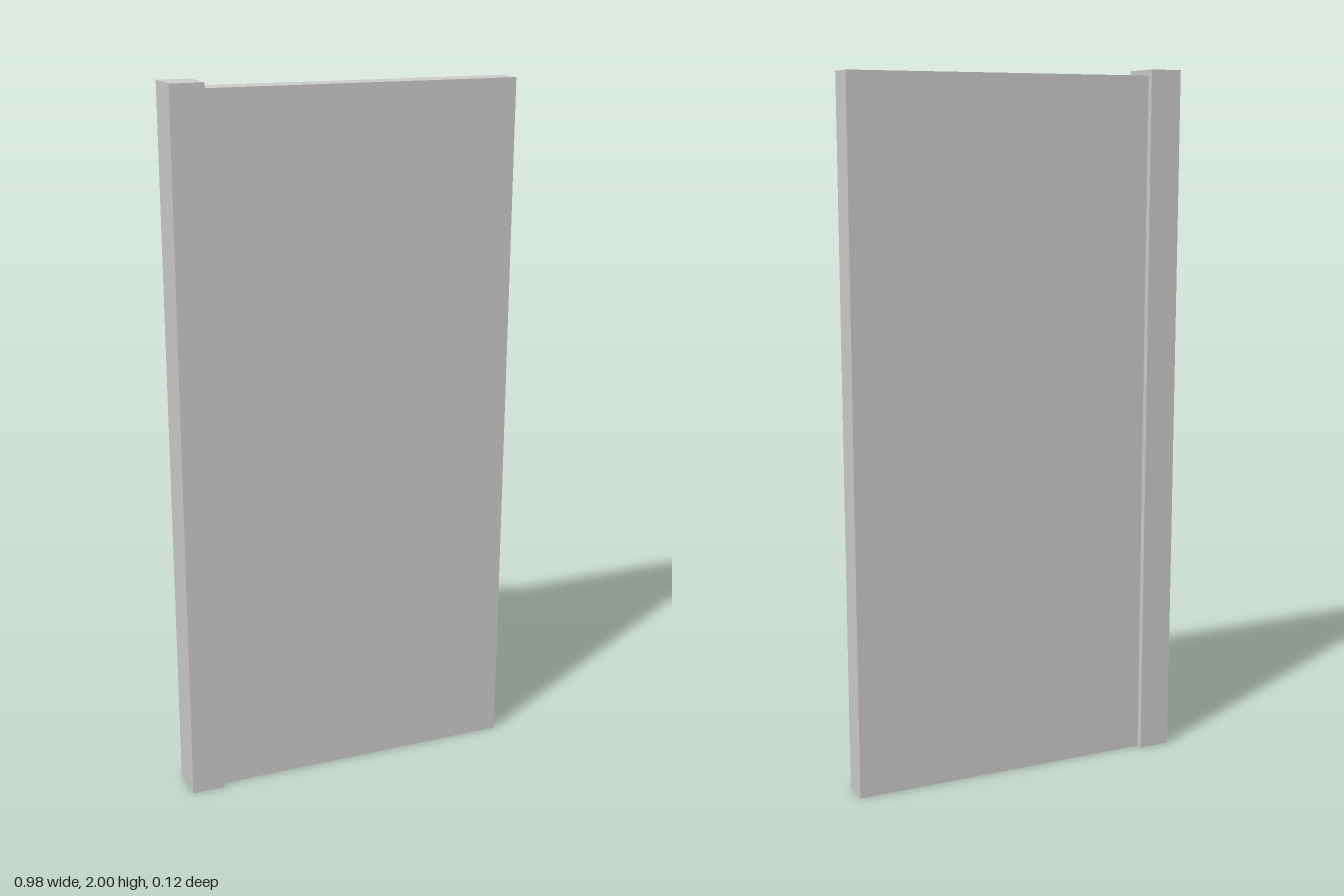
import * as THREE from 'three';

const material = new THREE.MeshStandardMaterial({ color: 0xcccccc, flatShading: true });

// Box given by its x range, height and depth, standing on the ground
function slab(name, x0, x1, height, depth) {
  const mesh = new THREE.Mesh(new THREE.BoxGeometry(x1 - x0, height, depth), material);
  mesh.name = name;
  mesh.position.set((x0 + x1) / 2, height / 2, 0);
  return mesh;
}

export function createModel() {
  const model = new THREE.Group();
  model.name = 'wallPanelWithPost';

  // Thicker, slightly taller edge post
  model.add(slab('post', -0.491, -0.398, 2, 0.12));

  // Flat panel butting against the post
  model.add(slab('panel', -0.398, 0.491, 1.984, 0.082));

  return model;
}
